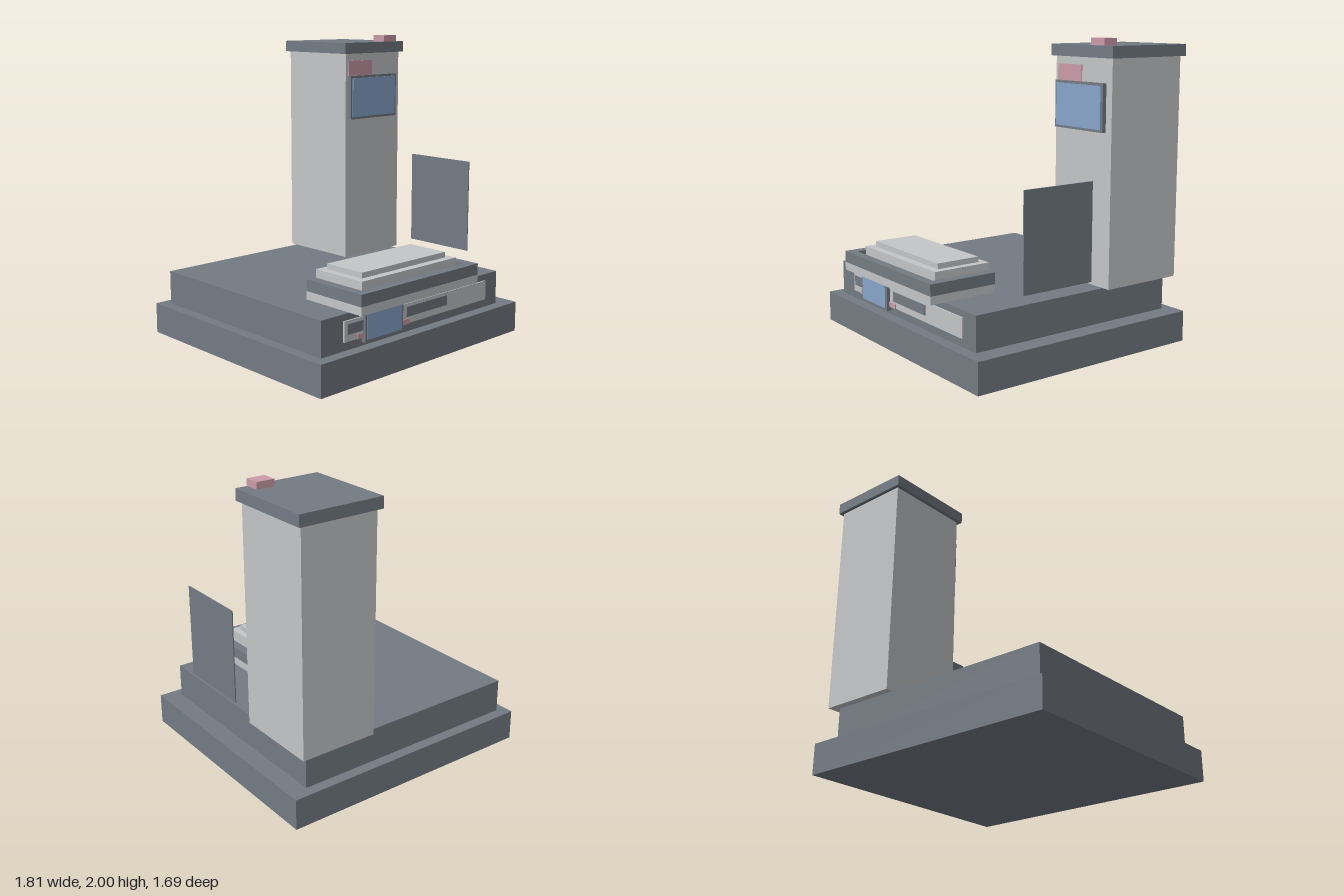
import * as THREE from 'three';

const flat = (name, color) => {
  const m = new THREE.MeshStandardMaterial({ color });
  m.name = name;
  return m;
};

export function createModel() {
  const model = new THREE.Group();
  model.name = 'towerBuilding';

  const slate = flat('slate', 0x737b83);
  const concrete = flat('concrete', 0xc4c6c8);
  const glass = flat('blueGlass', 0x89a6cc);
  const pink = flat('pink', 0xcb9ca9);

  // Adds a box given by its extents along each axis
  const block = (name, material, [x0, x1], [y0, y1], [z0, z1], parent = model) => {
    const mesh = new THREE.Mesh(new THREE.BoxGeometry(x1 - x0, y1 - y0, z1 - z0), material);
    mesh.position.set((x0 + x1) / 2, (y0 + y1) / 2, (z0 + z1) / 2);
    mesh.name = name;
    parent.add(mesh);
  };

  // Framed screen standing out from a wall at z = wall
  const screen = (name, [x0, x1], [y0, y1], wall, depth) => {
    const group = new THREE.Group();
    group.name = name;
    const front = wall + depth, rim = 0.016;
    block('screenFrame', slate, [x0, x1], [y0, y1], [wall, front], group);
    block('screenGlass', glass, [x0 + rim, x1 - rim], [y0 + rim, y1 - rim], [front, front + 0.006], group);
    model.add(group);
  };

  // Stepped plinth
  block('base', slate, [-0.908, 0.906], [0, 0.205], [-0.845, 0.822]);
  block('podium', slate, [-0.837, 0.779], [0.205, 0.432], [-0.772, 0.746]);

  // Tower with roof slab, rooftop unit, sign and screen
  block('tower', concrete, [0.302, 0.832], [0.432, 1.88], [-0.822, -0.238]);
  block('towerRoof', slate, [0.276, 0.857], [1.88, 1.955], [-0.845, -0.214]);
  block('rooftopUnit', pink, [0.656, 0.779], [1.955, 2], [-0.317, -0.214]);
  block('towerSign', pink, [0.326, 0.553], [1.7, 1.83], [-0.238, -0.231]);
  screen('towerScreen', [0.326, 0.779], [1.422, 1.726], -0.238, 0.028);

  // Thin upright panel at the side
  block('sidePanel', slate, [0.831, 0.838], [0.51, 1.143], [-0.087, 0.443]);

  // Front strip with dark windows, pink ledge and entrance screen
  block('frontStrip', concrete, [-0.661, 0.654], [0.26, 0.39], [0.746, 0.756]);
  for (const x of [[-0.638, -0.3], [-0.13, 0.252]]) {
    block('stripWindow', slate, x, [0.305, 0.37], [0.756, 0.762]);
  }
  block('stripLedge', pink, [-0.558, -0.105], [0.258, 0.291], [0.756, 0.762]);
  screen('entranceScreen', [-0.508, -0.18], [0.23, 0.431], 0.746, 0.032);

  // Canopy: slab, parapet open at the back, and stepped slabs inside
  block('canopySlab', concrete, [-0.611, 0.452], [0.432, 0.486], [0.37, 0.846]);
  block('canopyFront', slate, [-0.611, 0.452], [0.486, 0.561], [0.785, 0.846]);
  for (const x of [[-0.611, -0.546], [0.39, 0.452]]) {
    block('canopyArm', slate, x, [0.486, 0.561], [0.37, 0.785]);
  }
  block('canopyInnerSlab', concrete, [-0.535, 0.378], [0.486, 0.53], [0.412, 0.756]);
  block('canopyLowerStep', concrete, [-0.508, 0.35], [0.53, 0.6], [0.342, 0.746]);
  block('canopyUpperStep', concrete, [-0.457, 0.302], [0.6, 0.636], [0.389, 0.694]);

  return model;
}
